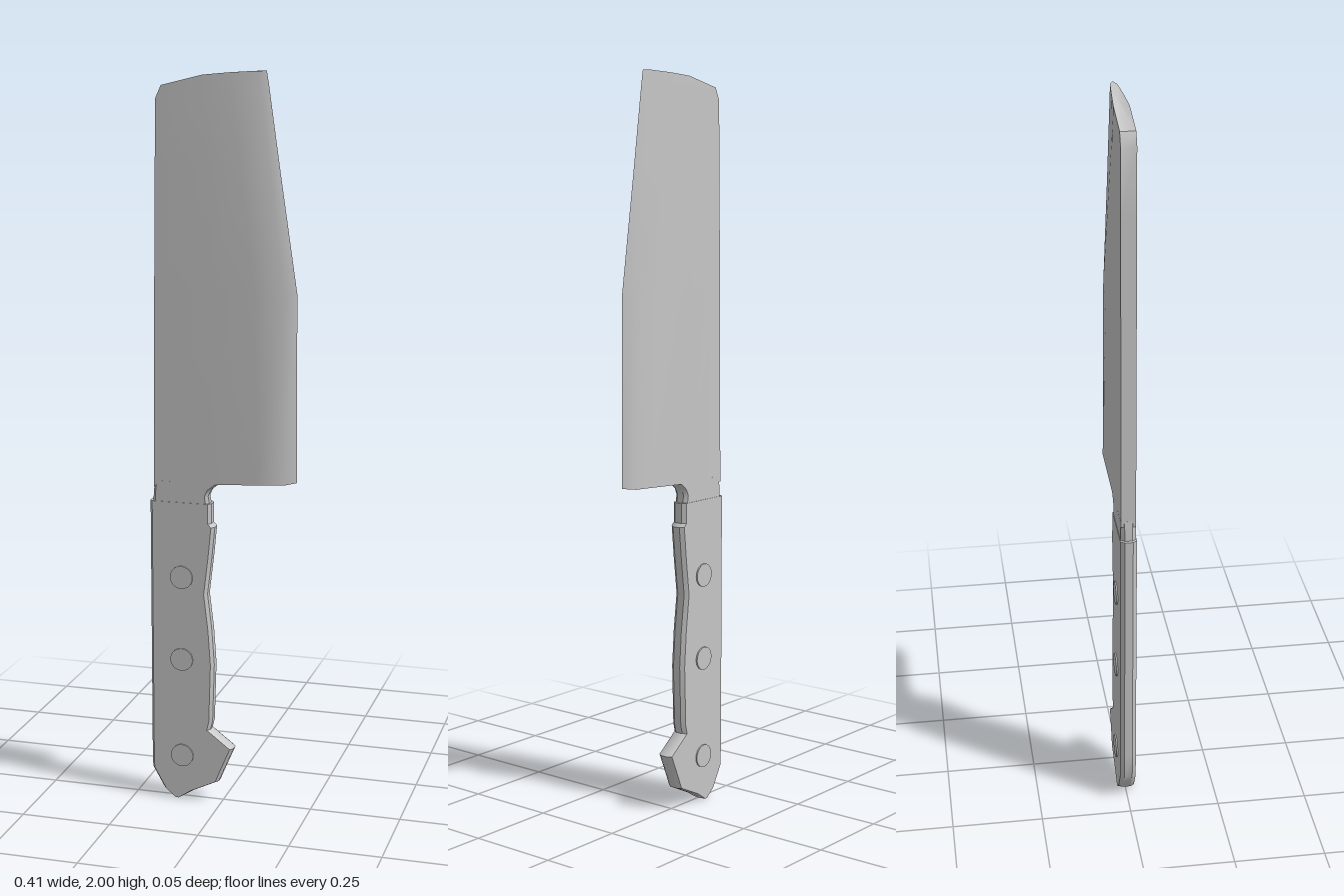
import * as THREE from 'three';
import { toCreasedNormals } from 'three/addons/utils/BufferGeometryUtils.js';

const steel = new THREE.MeshStandardMaterial({ color: 0xc6c6c6 });
steel.name = 'grey steel';

// Joins closed rings (counter-clockwise from above, bottom to top) and caps both ends.
function loft(rings, crease) {
  const pos = [];
  const tri = (a, b, c) => pos.push(...a, ...b, ...c);
  const n = rings[0].length;
  const centre = (r) => [0, 1, 2].map((k) => r.reduce((s, p) => s + p[k], 0) / n);
  const last = rings[rings.length - 1];
  const low = centre(rings[0]), high = centre(last);
  for (let j = 0; j < n; j++) {
    const k = (j + 1) % n;
    for (let i = 0; i < rings.length - 1; i++) {
      const a = rings[i][j], b = rings[i][k], c = rings[i + 1][k], d = rings[i + 1][j];
      tri(a, b, c);
      tri(a, c, d);
    }
    tri(low, rings[0][k], rings[0][j]);
    tri(high, last[j], last[k]);
  }
  const geo = new THREE.BufferGeometry();
  geo.setAttribute('position', new THREE.Float32BufferAttribute(pos, 3));
  return toCreasedNormals(geo, crease);
}

// Mirrors the front half of a blade section to the back; its last point is the cutting edge.
const bladeRing = (half) => [
  ...half,
  ...half.slice(0, -1).reverse().map(([x, y, z]) => [x, y, -z]),
];

// Chamfered bar section between xl and xr.
function barRing([y, xl, xr, t = 0.022]) {
  const b = Math.min(0.008, (xr - xl) / 4);
  const w = t * 0.5;
  return [
    [xl + b, y, t], [xr - b, y, t], [xr, y, w], [xr, y, -w],
    [xr - b, y, -t], [xl + b, y, -t], [xl, y, -w], [xl, y, w],
  ];
}

export function createModel() {
  const knife = new THREE.Group();
  knife.name = 'kitchenKnife';
  const add = (name, geo) => {
    const mesh = new THREE.Mesh(geo, steel);
    mesh.name = name;
    knife.add(mesh);
    return mesh;
  };

  // Blade: flat spine at -x, ground to an edge at +x, the bevel widening towards the tip
  const blade = [
    [[-0.19, 0.895, 0.02], [-0.02, 0.91, 0.021], [0.1, 0.917, 0.021], [0.172, 0.921, 0.021], [0.203, 0.925, 0]],
    [[-0.185, 1.43, 0.02], [-0.03, 1.43, 0.021], [0.09, 1.43, 0.021], [0.17, 1.43, 0.018], [0.2, 1.43, 0]],
    [[-0.181, 1.75, 0.02], [-0.04, 1.75, 0.021], [0.05, 1.75, 0.018], [0.128, 1.75, 0.012], [0.152, 1.75, 0]],
    [[-0.178, 1.93, 0.02], [-0.05, 1.955, 0.021], [0.02, 1.96, 0.016], [0.099, 1.965, 0.009], [0.121, 1.965, 0]],
    [[-0.163, 1.963, 0.02], [-0.05, 1.99, 0.02], [0.02, 1.996, 0.015], [0.092, 2.0, 0.009], [0.115, 2.0, 0]],
  ];
  add('blade', loft(blade.map(bladeRing), 0.75));

  // Neck: curved heel joining the blade to the handle
  const neck = [
    [0.84, -0.195, -0.034], [0.875, -0.194, -0.04], [0.893, -0.192, -0.032], [0.912, -0.19, -0.008],
  ];
  add('neck', loft(neck.map((r) => barRing([...r, 0.0205])), 0.6));

  // Handle: finger grip in the middle, hooked butt at the bottom
  const handle = [
    [0.002, -0.136, -0.12], [0.025, -0.168, -0.083], [0.06, -0.188, -0.01],
    [0.085, -0.202, 0.0], [0.16, -0.203, 0.032], [0.21, -0.203, -0.034],
    [0.235, -0.203, -0.028], [0.4, -0.203, -0.023], [0.5, -0.203, -0.03], [0.6, -0.203, -0.042],
    [0.7, -0.203, -0.03], [0.79, -0.203, -0.021], [0.8, -0.203, -0.03], [0.855, -0.203, -0.03],
  ];
  add('handle', loft(handle.map(barRing), 0.5));

  // Rivets passing through the handle
  for (const y of [0.645, 0.41, 0.13]) {
    const rivet = add('rivet', new THREE.CylinderGeometry(0.032, 0.032, 0.052, 20));
    rivet.rotation.x = Math.PI / 2;
    rivet.position.set(-0.113, y, 0);
  }
  return knife;
}
